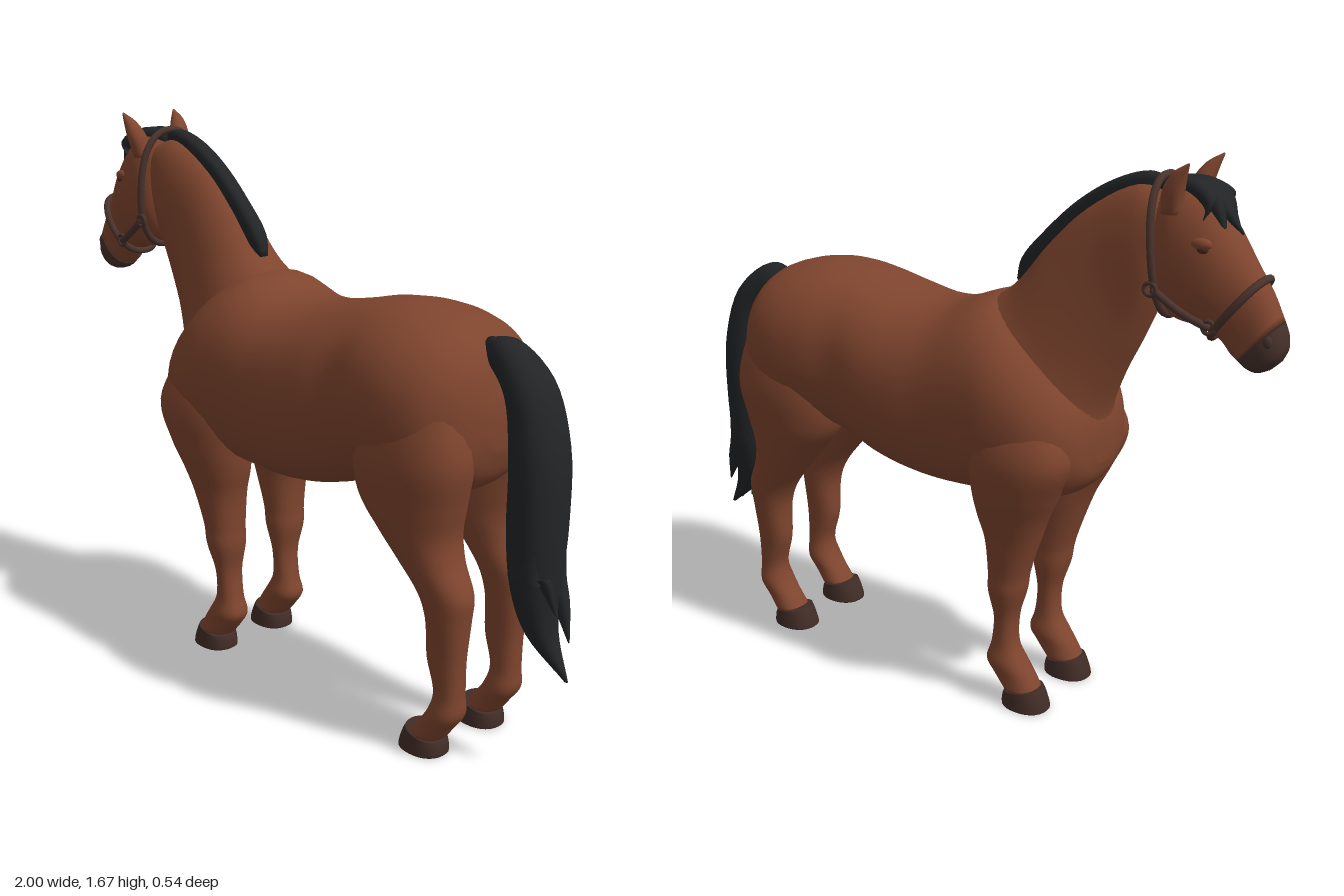
import * as THREE from 'three';

const mat = (name, color) => Object.assign(new THREE.MeshStandardMaterial({ color }), { name });

// A point on the rounded cross-section spanned by two side-profile points and a half width.
function ringPoint(p, q, zc, hz, angle, e) {
  const soft = v => Math.sign(v) * Math.pow(Math.abs(v), e);
  const c = soft(Math.cos(angle)), s = soft(Math.sin(angle));
  return [(p.x + q.x) / 2 + c * (q.x - p.x) / 2, (p.y + q.y) / 2 + c * (q.y - p.y) / 2, zc + s * hz];
}

// Smooth closed loft; each section is [x1, y1, x2, y2, zCentre, zHalfWidth].
function loft(sections, { side = 1, seg = 28, steps = 5, e = 0.88 } = {}) {
  const curve = f => new THREE.CatmullRomCurve3(sections.map(f), false, 'centripetal');
  const P = curve(s => new THREE.Vector3(s[0], s[1], 0));
  const Q = curve(s => new THREE.Vector3(s[2], s[3], 0));
  const W = curve((s, i) => new THREE.Vector3(s[4], s[5], i * 0.1));
  const n = (sections.length - 1) * steps, pos = [], idx = [];
  for (let i = 0; i <= n; i++) {
    const p = P.getPoint(i / n), q = Q.getPoint(i / n), w = W.getPoint(i / n);
    for (let j = 0; j < seg; j++) pos.push(...ringPoint(p, q, w.x * side, Math.max(w.y, 0.001), j / seg * Math.PI * 2, e));
  }
  for (const i of [0, n]) {
    const p = P.getPoint(i / n), q = Q.getPoint(i / n);
    pos.push((p.x + q.x) / 2, (p.y + q.y) / 2, W.getPoint(i / n).x * side);
  }
  const first = (n + 1) * seg;
  for (let j = 0; j < seg; j++) {
    const k = (j + 1) % seg;
    for (let i = 0; i < n; i++) {
      const a = i * seg + j, b = i * seg + k;
      idx.push(a, b, a + seg, b, b + seg, a + seg);
    }
    idx.push(first, k, j, first + 1, n * seg + j, n * seg + k);
  }
  // Turn the faces outward by checking the signed volume
  const v = i => new THREE.Vector3().fromArray(pos, i * 3);
  let volume = 0;
  for (let t = 0; t < idx.length; t += 3) volume += v(idx[t]).dot(v(idx[t + 1]).cross(v(idx[t + 2])));
  if (volume < 0) idx.reverse();
  const g = new THREE.BufferGeometry();
  g.setAttribute('position', new THREE.Float32BufferAttribute(pos, 3));
  g.setIndex(idx);
  g.computeVertexNormals();
  return g;
}

export function createModel() {
  const root = new THREE.Group();
  root.name = 'horse';
  const coat = mat('chestnut coat', 0x7f452e), hair = mat('black hair', 0x222426);
  const horn = mat('hoof brown', 0x412c26), skin = mat('muzzle brown', 0x45302a);
  const leather = mat('halter leather', 0x4a332c), eyeMat = mat('eye brown', 0x4a2a1f);
  const add = (name, geometry, material) => {
    const m = new THREE.Mesh(geometry, material);
    m.name = name;
    root.add(m);
    return m;
  };

  // Torso: x, bottom, top, half width
  add('torso', loft([
    [-0.485, 0.79, 0.90, 0.05], [-0.47, 0.74, 0.96, 0.13], [-0.43, 0.695, 1.03, 0.195], [-0.36, 0.665, 1.11, 0.24],
    [-0.25, 0.65, 1.2, 0.262], [-0.15, 0.64, 1.235, 0.26], [0, 0.635, 1.19, 0.258], [0.1, 0.643, 1.185, 0.262],
    [0.22, 0.67, 1.205, 0.262], [0.33, 0.71, 1.23, 0.25], [0.44, 0.74, 1.24, 0.266], [0.55, 0.74, 1.232, 0.268],
    [0.65, 0.75, 1.2, 0.238], [0.72, 0.80, 1.13, 0.165], [0.755, 0.89, 1.02, 0.06],
  ].map(([x, b, t, w]) => [x, b, x, t, 0, w]), { seg: 40 }), coat);

  // Neck
  add('neck', loft([
    [-0.68, 1.42, -0.65, 1.58, 0, 0.07], [-0.635, 1.28, -0.57, 1.59, 0, 0.09], [-0.585, 1.16, -0.42, 1.51, 0, 0.1],
    [-0.53, 1.05, -0.30, 1.395, 0, 0.12], [-0.487, 0.94, -0.19, 1.265, 0, 0.15],
    [-0.465, 0.82, -0.05, 1.18, 0, 0.195], [-0.36, 0.74, 0.08, 1.1, 0, 0.2],
  ], { seg: 36 }), coat);

  // Head and muzzle share a boundary section
  const lip = [-0.873, 1.157, -0.985, 1.275, 0, 0.058];
  add('head', loft([
    [-0.62, 1.44, -0.63, 1.58, 0, 0.055], [-0.64, 1.30, -0.71, 1.605, 0, 0.095], [-0.69, 1.245, -0.79, 1.565, 0, 0.1],
    [-0.76, 1.232, -0.845, 1.495, 0, 0.094], [-0.825, 1.205, -0.90, 1.415, 0, 0.073],
    [-0.855, 1.17, -0.95, 1.345, 0, 0.06], lip,
  ], { seg: 32 }), coat);
  add('muzzle', loft([
    lip, [-0.90, 1.14, -0.998, 1.24, 0, 0.058], [-0.93, 1.134, -1, 1.205, 0, 0.048], [-0.96, 1.145, -0.99, 1.175, 0, 0.02],
  ], { seg: 32 }), skin);

  // Limb profiles: height, front x, back x, z centre, z half width
  const foreLeg = [
    [0.97, -0.40, -0.15, 0.13, 0.09], [0.82, -0.462, -0.14, 0.15, 0.115], [0.7, -0.415, -0.15, 0.145, 0.108],
    [0.62, -0.375, -0.162, 0.135, 0.095], [0.54, -0.345, -0.182, 0.128, 0.078], [0.43, -0.31, -0.19, 0.125, 0.064],
    [0.37, -0.3, -0.19, 0.124, 0.062], [0.28, -0.275, -0.205, 0.12, 0.044], [0.19, -0.277, -0.195, 0.12, 0.042],
    [0.135, -0.308, -0.18, 0.12, 0.053], [0.095, -0.337, -0.205, 0.12, 0.05], [0.055, -0.36, -0.24, 0.12, 0.052],
  ];
  const hindLeg = [
    [1.05, 0.42, 0.7, 0.13, 0.1], [0.87, 0.38, 0.745, 0.146, 0.118], [0.74, 0.395, 0.72, 0.138, 0.115],
    [0.65, 0.465, 0.702, 0.132, 0.1], [0.58, 0.525, 0.715, 0.13, 0.083], [0.49, 0.595, 0.754, 0.126, 0.066],
    [0.42, 0.622, 0.748, 0.124, 0.058], [0.3, 0.625, 0.738, 0.122, 0.046], [0.2, 0.65, 0.736, 0.12, 0.042],
    [0.14, 0.632, 0.735, 0.12, 0.053], [0.095, 0.6, 0.705, 0.12, 0.05], [0.055, 0.57, 0.675, 0.12, 0.052],
  ];
  const limb = rows => rows.map(([y, a, b, z, w]) => [a, y, b, y, z, w]);

  for (const side of [1, -1]) {
    const label = side > 0 ? 'left' : 'right';
    for (const [name, rows, x] of [['Fore', foreLeg, -0.385], ['Hind', hindLeg, 0.53]]) {
      add(`${label}${name}Leg`, loft(limb(rows), { side }), coat);
      // Hoof slopes down toward the heel
      add(`${label}${name}Hoof`, loft([
        [x + 0.025, 0.07, x + 0.14, 0.045, 0.12, 0.054], [x + 0.012, 0.045, x + 0.146, 0.03, 0.12, 0.057],
        [x, 0.002, x + 0.148, 0.002, 0.12, 0.061], [x + 0.004, 0, x + 0.144, 0, 0.12, 0.059],
      ], { side }), horn);
    }

    // Ear
    add(`${label}Ear`, loft([
      [-0.72, 1.53, -0.665, 1.53, 0.07, 0.028], [-0.73, 1.59, -0.675, 1.595, 0.083, 0.031],
      [-0.742, 1.635, -0.705, 1.64, 0.093, 0.019], [-0.752, 1.664, -0.747, 1.666, 0.1, 0.003],
    ], { side, seg: 16 }), coat);

    // Eye under a heavy lid, and nostril
    const eye = add(`${label}Eye`, new THREE.SphereGeometry(0.016, 16, 12), eyeMat);
    eye.position.set(-0.79, 1.452, side * 0.086);
    eye.scale.set(1.2, 0.8, 0.6);
    const lid = add(`${label}Eyelid`, new THREE.SphereGeometry(0.024, 16, 12), coat);
    lid.position.set(-0.785, 1.465, side * 0.084);
    lid.scale.set(1.3, 0.7, 0.6);
    const nostril = add(`${label}Nostril`, new THREE.SphereGeometry(0.018, 14, 10), skin);
    nostril.position.set(-0.965, 1.228, side * 0.046);
    nostril.scale.set(0.8, 1.1, 0.6);

    // Halter cheek strap with its two rings
    const strap = new THREE.CatmullRomCurve3([[-0.815, 1.247, 0.072], [-0.74, 1.285, 0.094], [-0.665, 1.335, 0.104]]
      .map(([x, y, z]) => new THREE.Vector3(x, y, z * side)));
    add(`${label}CheekStrap`, new THREE.TubeGeometry(strap, 12, 0.011, 8), leather);
    for (const [x, y, z] of [[-0.815, 1.25, 0.075], [-0.66, 1.335, 0.108]]) {
      add(`${label}HalterRing`, new THREE.TorusGeometry(0.017, 0.006, 8, 16), leather).position.set(x, y, z * side);
    }
  }

  // Halter bands around the nose and behind the ears
  for (const [name, x1, y1, x2, y2, hz] of [
    ['noseBand', -0.80, 1.21, -0.932, 1.378, 0.077], ['crownStrap', -0.675, 1.25, -0.64, 1.615, 0.108],
  ]) {
    const pts = [];
    for (let j = 0; j < 24; j++) {
      pts.push(new THREE.Vector3(...ringPoint({ x: x1, y: y1 }, { x: x2, y: y2 }, 0, hz, j / 24 * Math.PI * 2, 0.85)));
    }
    add(name, new THREE.TubeGeometry(new THREE.CatmullRomCurve3(pts, true), 60, 0.011, 8, true), leather);
  }

  // Mane along the crest
  add('mane', loft([
    [-0.63, 1.56, -0.64, 1.61, 0, 0.015], [-0.59, 1.55, -0.585, 1.618, 0, 0.026], [-0.51, 1.53, -0.49, 1.588, 0, 0.028],
    [-0.42, 1.47, -0.385, 1.523, 0, 0.028], [-0.325, 1.375, -0.285, 1.432, 0, 0.028],
    [-0.245, 1.29, -0.205, 1.34, 0, 0.027], [-0.21, 1.25, -0.187, 1.28, 0, 0.014],
  ], { seg: 20, e: 0.65 }), hair);

  // Forelock: a fan of pointed locks over the forehead
  [[-0.07, -0.78, 1.52], [-0.04, -0.835, 1.47], [-0.01, -0.865, 1.485], [0.025, -0.85, 1.46], [0.05, -0.82, 1.50], [0.075, -0.77, 1.53]]
    .forEach(([z, x, y], i) => add(`forelock${i + 1}`, loft([
      [-0.63, 1.57, -0.64, 1.612, z * 0.1, 0.018], [-0.73, 1.575, -0.735, 1.617, z * 0.4, 0.026],
      [-0.78, 1.545, -0.805, 1.578, z * 0.7, 0.025], [x, y, x - 0.004, y + 0.004, z, 0.002],
    ], { seg: 12 }), hair));

  // Tail
  add('tail', loft([
    [0.68, 1.12, 0.69, 1.18, 0, 0.02], [0.72, 1.10, 0.765, 1.186, 0, 0.05], [0.775, 1.04, 0.875, 1.1, 0, 0.074],
    [0.80, 0.88, 0.935, 0.93, 0, 0.088], [0.80, 0.68, 0.945, 0.72, 0, 0.086], [0.815, 0.53, 0.938, 0.54, 0, 0.07],
    [0.86, 0.41, 0.945, 0.42, 0, 0.042], [0.985, 0.302, 0.995, 0.304, 0, 0.003],
  ]), hair);

  // Loose tail locks
  [[0.05, 0.965, 0.49], [-0.05, 0.975, 0.4], [0.035, 0.925, 0.36], [-0.03, 0.89, 0.355], [0.01, 0.955, 0.325]]
    .forEach(([z, x, y], i) => add(`tailLock${i + 1}`, loft([
      [0.83, 0.70, 0.925, 0.72, z, 0.03], [0.835, 0.56, 0.93, 0.57, z, 0.028],
      [x - 0.07, y + 0.09, x - 0.02, y + 0.1, z * 0.8, 0.018], [x - 0.003, y, x, y + 0.003, z * 0.5, 0.002],
    ], { seg: 12 }), hair));

  return root;
}
